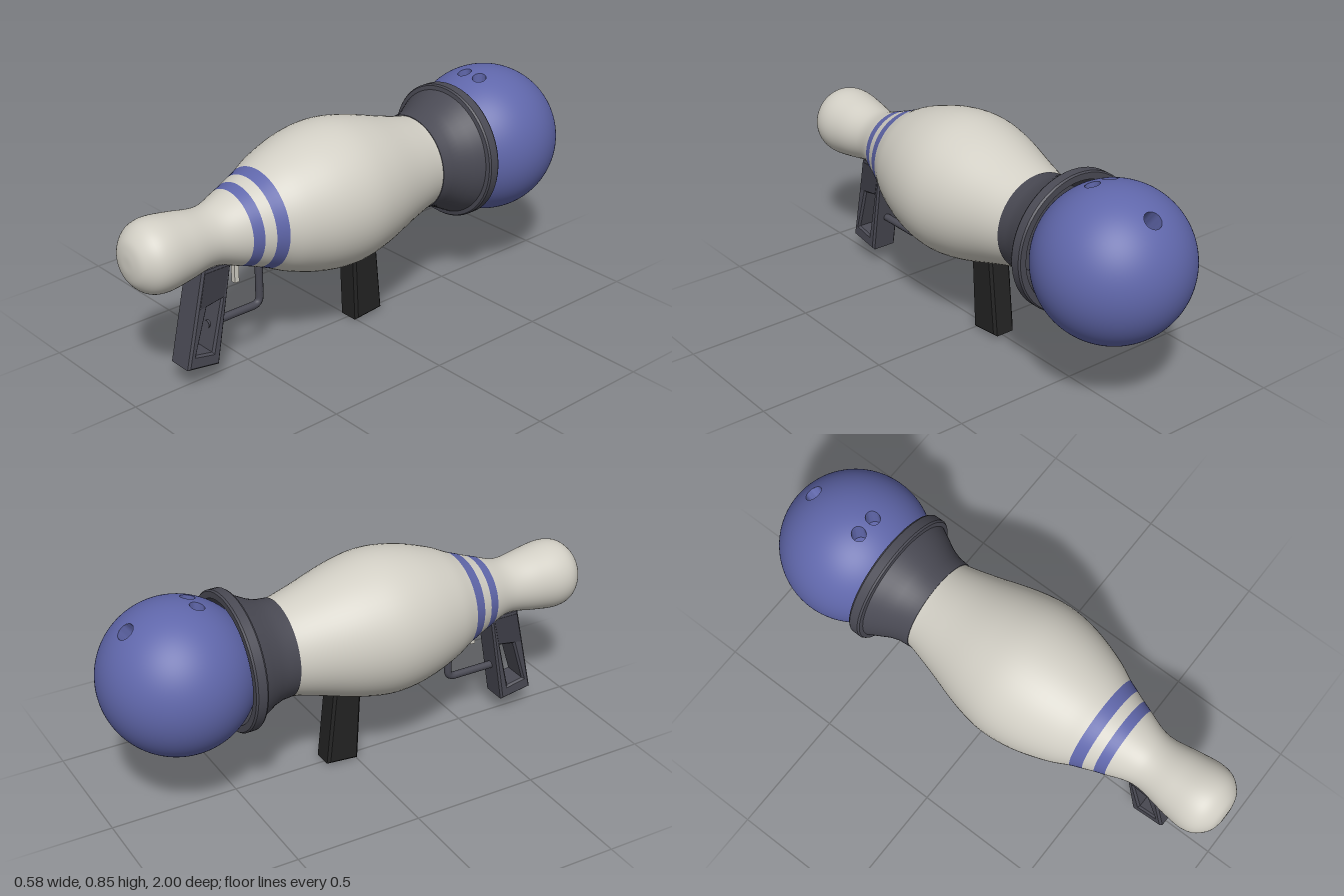
import * as THREE from 'three';
import { toCreasedNormals } from 'three/addons/utils/BufferGeometryUtils.js';

const mat = (name, color) => Object.assign(new THREE.MeshStandardMaterial({ color }), { name });
const AXIS_Y = 0.562;

export function createModel() {
  const cream = mat('cream', 0xd2cfc5);
  const blue = mat('blue', 0x6067ab);
  const slate = mat('slate', 0x4a4a54);
  const darkSlate = mat('dark slate', 0x3e3e47);
  const black = mat('black', 0x232323);

  const model = new THREE.Group();
  const add = (name, geometry, material, parent = model) => {
    const mesh = new THREE.Mesh(geometry, material);
    mesh.name = name;
    parent.add(mesh);
    return mesh;
  };
  const vec = ([x, y]) => new THREE.Vector2(x, y);

  // Parts turned around the long axis
  const barrel = new THREE.Group();
  barrel.name = 'barrel';
  barrel.position.y = AXIS_Y;
  model.add(barrel);

  // Pin: one smooth profile [radius, z], cut into coloured bands
  const pinPoints = [
    [0.178, -0.36], [0.186, -0.30], [0.215, -0.19], [0.262, -0.03], [0.282, 0.10],
    [0.268, 0.23], [0.228, 0.36], [0.19, 0.44], [0.172, 0.485], [0.156, 0.525],
    [0.142, 0.565], [0.115, 0.64], [0.111, 0.70], [0.126, 0.79], [0.137, 0.88],
    [0.125, 0.94], [0.085, 0.983], [0.04, 0.998], [0, 1.0],
  ];
  const pinCurve = new THREE.SplineCurve(pinPoints.map(vec));
  const last = pinPoints.length - 1;
  const pinBand = (name, from, to, material) => {
    const steps = (to - from) * 5;
    const profile = [];
    for (let i = 0; i <= steps; i++) {
      const p = pinCurve.getPoint((from + (i / steps) * (to - from)) / last);
      profile.push(new THREE.Vector2(Math.max(p.x, 0), p.y));
    }
    add(name, new THREE.LatheGeometry(profile, 64).rotateX(Math.PI / 2), material, barrel);
  };
  pinBand('pinBelly', 0, 7, cream);
  pinBand('rearStripe', 7, 8, blue);
  pinBand('stripeGap', 8, 9, cream);
  pinBand('frontStripe', 9, 10, blue);
  pinBand('pinHead', 10, last, cream);

  // Flared cup that holds the ball, hollow at the back
  const cupProfile = [
    [0, -0.38], [0.17, -0.38], [0.225, -0.50], [0.237, -0.527], [0.262, -0.527],
    [0.267, -0.52], [0.267, -0.485], [0.262, -0.478], [0.246, -0.475], [0.225, -0.435],
    [0.204, -0.395], [0.191, -0.355], [0.187, -0.31], [0.17, -0.31],
  ].map(vec);
  const cup = new THREE.LatheGeometry(cupProfile, 64).rotateX(Math.PI / 2);
  add('cup', toCreasedNormals(cup, 0.5), slate, barrel);

  // Ball with three drilled finger holes
  const R = 0.29;
  const ball = new THREE.Group();
  ball.name = 'ball';
  ball.position.z = -0.71;
  barrel.add(ball);
  const holes = [
    { tilt: 0, x: -0.04, z: 0.075, r: 0.027 },
    { tilt: 0, x: 0.04, z: 0.075, r: 0.027 },
    { tilt: -0.67, x: 0, z: 0, r: 0.034 },
  ];
  add('ballShell', drilledSphere(R, holes), blue, ball);
  for (const h of holes) {
    const floor = 0.19;
    const well = new THREE.LatheGeometry([[h.r, R], [h.r, floor], [0, floor]].map(vec), 28);
    well.translate(h.x, 0, h.z);
    // Trim the top of the wall to the ball's surface
    const p = well.attributes.position;
    for (let i = 0; i < p.count; i++) {
      if (p.getY(i) > floor + 0.01) p.setY(i, Math.sqrt(R * R - p.getX(i) ** 2 - p.getZ(i) ** 2));
    }
    add('fingerHole', toCreasedNormals(well, 0.6).rotateX(h.tilt), blue, ball);
  }

  // Side outline [z, y] extruded across x
  const slab = (outline, width, bevel, window) => {
    const shape = new THREE.Shape(outline.map(vec));
    if (window) shape.holes.push(new THREE.Path(window.map(vec)));
    const geometry = new THREE.ExtrudeGeometry(shape, {
      depth: width - 2 * bevel, bevelEnabled: bevel > 0, bevelSize: bevel,
      bevelThickness: bevel, bevelOffset: -bevel, bevelSegments: 1,
    });
    return geometry.translate(0, 0, bevel - width / 2).rotateY(-Math.PI / 2);
  };

  // Rear grip with a window through it
  add('grip', slab(
    [[0.722, 0.47], [0.805, 0.09], [0.667, 0.068], [0.597, 0.47]], 0.11, 0.008,
    [[0.711, 0.315], [0.647, 0.326], [0.695, 0.126], [0.765, 0.14]],
  ), slate);
  for (const side of [-1, 1]) {
    const panel = slab([[0.718, 0.45], [0.744, 0.318], [0.638, 0.335], [0.612, 0.45]], 0.004, 0);
    add('gripPanel', panel, darkSlate).position.x = side * 0.0545;
  }

  // Front grip
  add('foregrip', slab(
    [[0.02, 0.33], [0.005, 0], [-0.128, 0.012], [-0.095, 0.34]], 0.095, 0.01,
  ), black);

  // Trigger and its guard
  add('trigger', new THREE.BoxGeometry(0.02, 0.11, 0.02), cream).position.set(0, 0.395, 0.545);
  const guard = new THREE.CurvePath();
  const g = (z, y) => new THREE.Vector3(0, y, z);
  guard.add(new THREE.LineCurve3(g(0.68, 0.214), g(0.47, 0.214)));
  guard.add(new THREE.QuadraticBezierCurve3(g(0.47, 0.214), g(0.438, 0.214), g(0.438, 0.246)));
  guard.add(new THREE.LineCurve3(g(0.438, 0.246), g(0.438, 0.40)));
  add('triggerGuard', new THREE.TubeGeometry(guard, 48, 0.015, 10), slate);

  return model;
}

// Fine sphere: vertices near each hole's rim snap onto it, faces inside are dropped
function drilledSphere(R, holes) {
  const source = new THREE.IcosahedronGeometry(R, 40).attributes.position;
  const snap = 0.0052;
  const up = new THREE.Vector3(1, 0, 0);
  const out = [];
  const normals = [];
  for (let i = 0; i < source.count; i += 3) {
    const tri = [0, 1, 2].map((k) => new THREE.Vector3().fromBufferAttribute(source, i + k));
    let drop = false;
    for (const h of holes) {
      let inside = 0;
      for (const v of tri) {
        v.applyAxisAngle(up, -h.tilt);
        const dx = v.x - h.x, dz = v.z - h.z, d = Math.hypot(dx, dz);
        if (v.y > 0 && d < h.r + snap) {
          if (d > h.r - snap) {
            v.x = h.x + (dx * h.r) / d;
            v.z = h.z + (dz * h.r) / d;
            v.y = Math.sqrt(R * R - v.x * v.x - v.z * v.z);
          }
          inside++;
        }
        v.applyAxisAngle(up, h.tilt);
      }
      if (inside === 3) drop = true;
    }
    if (drop) continue;
    for (const v of tri) {
      out.push(v.x, v.y, v.z);
      normals.push(v.x / R, v.y / R, v.z / R);
    }
  }
  const geometry = new THREE.BufferGeometry();
  geometry.setAttribute('position', new THREE.Float32BufferAttribute(out, 3));
  geometry.setAttribute('normal', new THREE.Float32BufferAttribute(normals, 3));
  return geometry;
}
